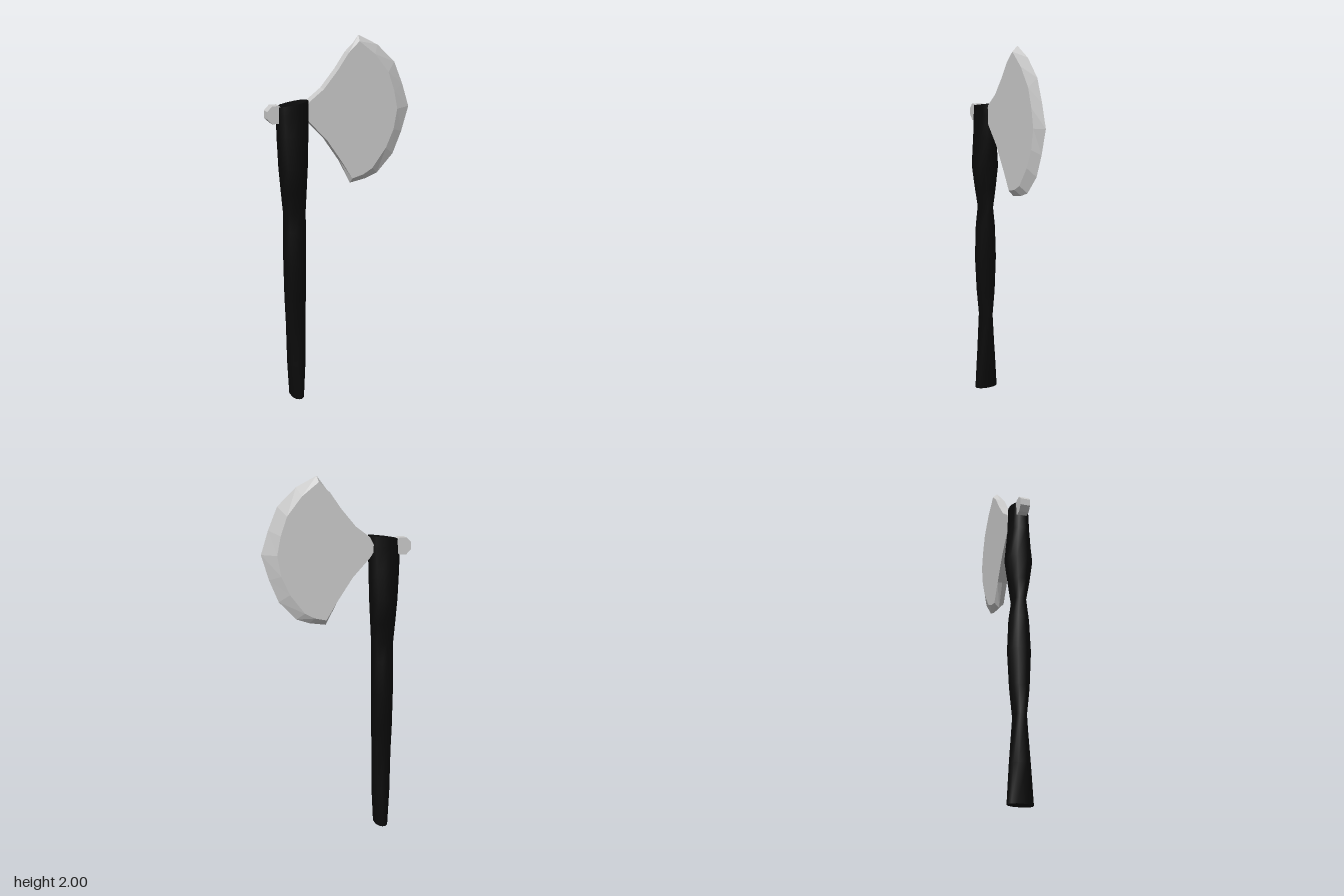
import * as THREE from 'three';

// Skin counter-clockwise rings stacked along +z, closing both ends with flat caps.
function loft(rings) {
  const n = rings[0].length;
  const pos = [], index = [];
  rings.forEach((ring) => ring.forEach((p) => pos.push(...p)));
  for (let k = 0; k < rings.length - 1; k++) {
    for (let i = 0; i < n; i++) {
      const j = (i + 1) % n;
      const a = k * n + i, b = k * n + j, c = b + n, d = a + n;
      index.push(a, b, c, a, c, d);
    }
  }
  const cap = (ring, flip) => {
    const base = pos.length / 3;
    ring.forEach((p) => pos.push(...p));
    const faces = THREE.ShapeUtils.triangulateShape(ring.map((p) => new THREE.Vector2(p[0], p[1])), []);
    for (const [a, b, c] of faces) {
      index.push(base + a, base + (flip ? c : b), base + (flip ? b : c));
    }
  };
  cap(rings[0], true);
  cap(rings[rings.length - 1], false);
  const geo = new THREE.BufferGeometry();
  geo.setAttribute('position', new THREE.Float32BufferAttribute(pos, 3));
  geo.setIndex(index);
  geo.computeVertexNormals();
  return geo;
}

// Haft: blunt twelve-sided sections, swelling and pinching in depth.
function makeHandle(material) {
  const quarter = [[1, 0.4], [0.68, 0.8], [0.25, 1]];
  const section = [
    ...quarter,
    ...quarter.map(([x, y]) => [-x, y]).reverse(),
    ...quarter.map(([x, y]) => [-x, -y]),
    ...quarter.map(([x, y]) => [x, -y]).reverse(),
  ];
  // height, left x, right x, half depth
  const levels = [
    [0, -0.305, -0.235, 0.066],
    [0.2, -0.316, -0.222, 0.053],
    [0.45, -0.322, -0.217, 0.034],
    [0.6, -0.325, -0.214, 0.05],
    [0.8, -0.326, -0.212, 0.06],
    [0.98, -0.326, -0.21, 0.052],
    [1.09, -0.326, -0.207, 0.036],
    [1.2, -0.333, -0.203, 0.055],
    [1.33, -0.341, -0.198, 0.073],
    [1.5, -0.35, -0.19, 0.056],
    [1.62, -0.352, -0.185, 0.05],
    [1.67, -0.35, -0.185, 0.048],
  ];
  const rings = levels.map(([h, x0, x1, depth], k) => section.map(([u, v]) => {
    const slant = k === levels.length - 1 ? 0.012 * u : 0;
    return [(x0 + x1) / 2 + (u * (x1 - x0)) / 2, v * depth, h + slant];
  }));
  const mesh = new THREE.Mesh(loft(rings).rotateX(-Math.PI / 2), material);
  mesh.name = 'handle';
  return mesh;
}

// Blade: flat cheeks, straight-walled neck and a bevelled cutting edge.
function makeBlade(material) {
  // outer x, y, then the matching bevel start on the cheek where there is one
  const outline = [
    [-0.2, 1.595], [-0.2, 1.635], [-0.18, 1.675], [-0.1, 1.735], [-0.02, 1.83], [0.04, 1.915],
    [0.105, 2.0, 0.1, 1.97],
    [0.215, 1.945, 0.19, 1.9],
    [0.315, 1.85, 0.27, 1.8],
    [0.365, 1.73, 0.305, 1.7],
    [0.405, 1.605, 0.325, 1.6],
    [0.365, 1.47, 0.305, 1.49],
    [0.315, 1.35, 0.26, 1.39],
    [0.22, 1.25, 0.18, 1.285],
    [0.15, 1.225, 0.125, 1.255],
    [0.06, 1.21, 0.062, 1.24],
    [0, 1.34], [-0.085, 1.465], [-0.18, 1.565],
  ].reverse();
  const mid = -0.006, half = 0.027;
  const cheek = (z) => outline.map(([x, y, ix = x, iy = y]) => [ix, iy, z]);
  const rim = outline.map(([x, y]) => [x, y, mid]);
  const mesh = new THREE.Mesh(loft([cheek(mid - half), rim, cheek(mid + half)]), material);
  mesh.name = 'blade';
  return mesh;
}

// Small eight-sided stud behind the head.
function makeStud(material) {
  const geo = new THREE.CylinderGeometry(0.05, 0.05, 0.053, 8);
  geo.rotateY(Math.PI / 8).rotateX(Math.PI / 2);
  const mesh = new THREE.Mesh(geo, material);
  mesh.position.set(-0.366, 1.62, -0.005);
  mesh.name = 'rearStud';
  return mesh;
}

export function createModel() {
  const wood = new THREE.MeshStandardMaterial({ color: 0x0a0a0a });
  const steel = new THREE.MeshStandardMaterial({ color: 0xcccccc, flatShading: true });
  const axe = new THREE.Group();
  axe.name = 'axe';
  axe.add(makeHandle(wood), makeBlade(steel), makeStud(steel));
  return axe;
}
